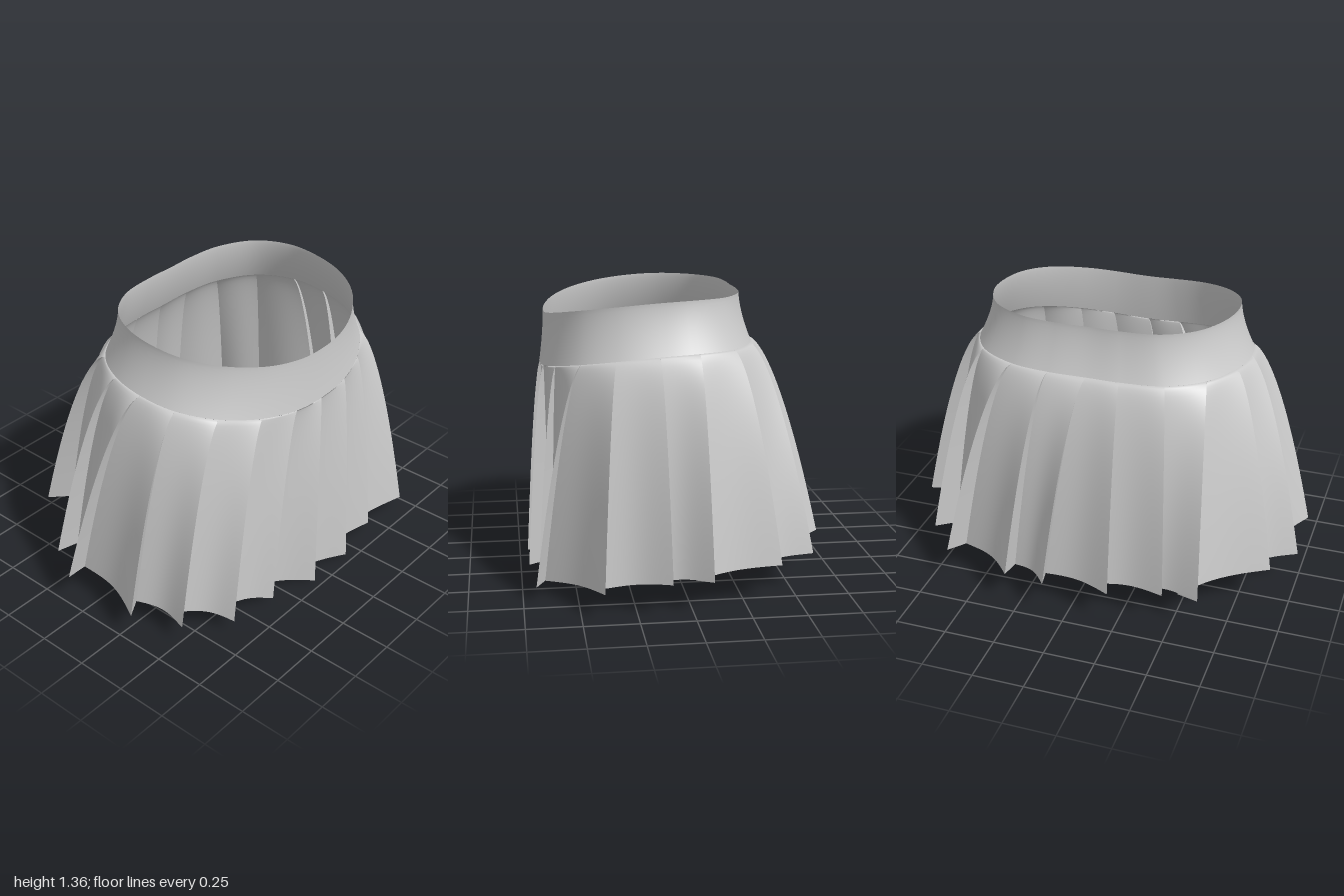
import * as THREE from 'three';
import { ParametricGeometry } from 'three/addons/geometries/ParametricGeometry.js';

// One entry per pleat, running from the front round by the left side:
// [crease x, z at the waist seam, fold tip x, z at the hem]
const PLEATS = [
  [0.19, 0.62, 0.17, 0.71], [0.36, 0.57, 0.42, 0.67], [0.53, 0.46, 0.68, 0.69], [0.63, 0.31, 0.97, 0.40],
  [0.67, 0.12, 0.97, 0.10], [0.66, -0.06, 0.99, -0.08], [0.57, -0.23, 0.81, -0.42], [0.38, -0.34, 0.66, -0.60],
  [0.19, -0.37, 0.31, -0.70], [0, -0.37, 0.11, -0.72], [-0.16, -0.37, -0.21, -0.70], [-0.37, -0.34, -0.46, -0.63],
  [-0.54, -0.23, -0.63, -0.62], [-0.64, -0.06, -0.90, -0.26], [-0.67, 0.12, -1, -0.08], [-0.64, 0.30, -0.98, 0.31],
  [-0.53, 0.46, -0.86, 0.52], [-0.36, 0.57, -0.64, 0.65], [-0.17, 0.62, -0.36, 0.66], [0, 0.63, -0.09, 0.71],
];
const N = PLEATS.length;
const CENTRE_Z = 0.13;
const FOLD_DEPTH = 0.12;
const FOLD_TUCK = 0.045;
const lerp = THREE.MathUtils.lerp;

const material = new THREE.MeshStandardMaterial({ color: 0xcccccc, side: THREE.DoubleSide });

// 0 at the front, 1 at the back: the whole garment rises towards the back
function rise(p) {
  const angle = Math.abs(Math.atan2(p.x, p.z - CENTRE_Z));
  return (1 - Math.cos(Math.min(angle * 1.6, Math.PI))) / 2;
}

const seam = new THREE.CatmullRomCurve3(PLEATS.map(([x, z]) => new THREE.Vector3(x, 0, z)), true);

// Hem points carry their own height
const tips = PLEATS.map(([, , x, z]) => {
  const tip = new THREE.Vector3(x, 0, z);
  return tip.setY(0.175 * rise(tip));
});

// Inner edge of each fold: inwards from the tip, tucked behind its panel and hanging a little lower
const valleys = tips.map((tip) => {
  const out = new THREE.Vector3(tip.x, 0, tip.z - 0.1).normalize();
  const back = new THREE.Vector3(-out.z, 0, out.x);
  const valley = tip.clone().addScaledVector(out, -FOLD_DEPTH).addScaledVector(back, FOLD_TUCK);
  valley.y *= 0.85;
  return valley;
});

// Point on the cloth between a seam point and a hem point; t runs down
function drape(top, hem, t, target) {
  const flare = Math.pow(t, 0.62);
  const y = lerp(1.0 + 0.13 * rise(top), hem.y, t);
  target.set(lerp(top.x, hem.x, flare), y, lerp(top.z, hem.z, flare));
}

function surface(name, fn, columns, rows) {
  const mesh = new THREE.Mesh(new ParametricGeometry(fn, columns, rows), material);
  mesh.name = name;
  return mesh;
}

// Smooth band that narrows towards its open top
function waistband() {
  return surface('waistband', (u, v, target) => {
    const p = seam.getPoint(u % 1);
    const r = rise(p);
    const angle = Math.atan2(p.x, p.z - CENTRE_Z);
    const taper = 1 - Math.pow(1 - v, 1.6);
    const kx = lerp(1, 0.89, taper);
    const kz = lerp(1, 0.92 + 0.04 * Math.cos(angle), taper);
    target.set(p.x * kx, lerp(1.0 + 0.13 * r, 1.25 + 0.11 * r, v), CENTRE_Z + (p.z - CENTRE_Z) * kz);
  }, 100, 12);
}

// Knife pleat: wide outer panel, then a fold turning back in behind it
function pleat(i) {
  const group = new THREE.Group();
  group.name = 'pleat';
  const before = (i + N - 1) % N;
  const crease = seam.getPoint(i / N);

  group.add(surface('pleatPanel', (u, v, target) => {
    const t = Math.pow(1 - v, 1.6);
    const top = seam.getPoint(((before + u) / N) % 1);
    const hem = valleys[before].clone().lerp(tips[i], u);
    // panel sags inwards between its edges
    const sag = 1 - 0.04 * Math.sin(Math.PI * u);
    hem.x *= sag;
    hem.z = CENTRE_Z + (hem.z - CENTRE_Z) * sag;
    drape(top, hem, t, target);
  }, 12, 22));

  group.add(surface('pleatFold', (u, v, target) => {
    const t = Math.max(Math.pow(1 - v, 1.6), 0.0005);
    drape(crease, tips[i].clone().lerp(valleys[i], u), t, target);
  }, 3, 22));
  return group;
}

export function createModel() {
  const skirt = new THREE.Group();
  skirt.name = 'pleatedSkirt';
  skirt.add(waistband());
  for (let i = 0; i < N; i++) skirt.add(pleat(i));
  return skirt;
}
